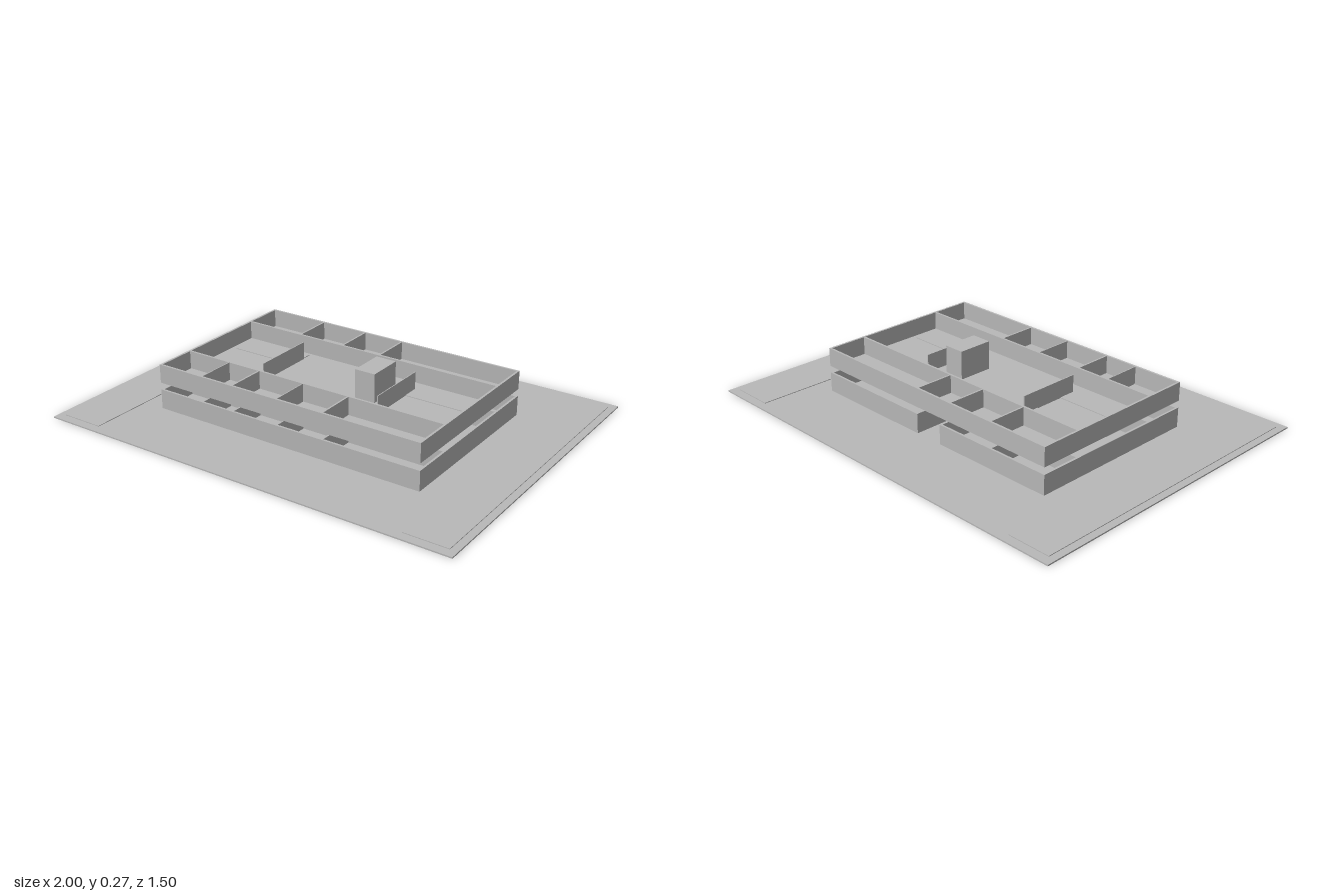
import * as THREE from 'three';

export function createModel() {
  const model = new THREE.Group();
  const grey = new THREE.MeshStandardMaterial({ color: 0xb8b8b8 });
  grey.name = 'plain grey';

  // Box given by its minimum and maximum on each axis
  function block(parent, name, x0, x1, y0, y1, z0, z1) {
    const mesh = new THREE.Mesh(new THREE.BoxGeometry(x1 - x0, y1 - y0, z1 - z0), grey);
    mesh.position.set((x0 + x1) / 2, (y0 + y1) / 2, (z0 + z1) / 2);
    mesh.name = name;
    parent.add(mesh);
  }

  const W = 0.665, D = 0.415, T = 0.01, INNER = 0.22;
  const BASE = 0.006, LOW_TOP = 0.097, FLOOR = 0.13, HIGH_TOP = 0.217;

  // Ground with a thin paved strip on each side
  block(model, 'ground', -1, 1, 0, BASE, -0.75, 0.75);
  for (const s of [-1, 1]) {
    block(model, 'sideStrip', s * 0.867 - 0.1, s * 0.867 + 0.1, BASE, 0.009, -0.71, 0.71);
  }

  // One storey: outer walls, two long inner walls and room dividers
  function storey(name, y0, y1, backDividers, frontDividers, door) {
    const g = new THREE.Group();
    g.name = name;
    for (const s of [-1, 1]) {
      const x = s * (W - T / 2);
      block(g, 'sideWall', x - T / 2, x + T / 2, y0, y1, -D, D);
      const z = s * INNER;
      block(g, 'innerWall', -W + T, W - T, y0, y1, z - T / 2, z + T / 2);
    }
    block(g, 'frontWall', -W + T, W - T, y0, y1, D - T, D);
    if (door) {
      block(g, 'backWallRight', -W + T, -door, y0, y1, -D, -D + T);
      block(g, 'backWallLeft', door, W - T, y0, y1, -D, -D + T);
    } else {
      block(g, 'backWall', -W + T, W - T, y0, y1, -D, -D + T);
    }
    for (const [x, t] of backDividers) {
      block(g, 'backDivider', x - t / 2, x + t / 2, y0, y1, -D + T, -INNER - T / 2);
    }
    for (const [x, t] of frontDividers) {
      block(g, 'frontDivider', x - t / 2, x + t / 2, y0, y1, INNER + T / 2, D - T);
    }
    model.add(g);
    return g;
  }

  const frontRooms = [[-0.43, 0.004], [-0.265, 0.008], [-0.03, 0.004], [0.2, 0.008]];
  storey('lowerStorey', BASE, LOW_TOP, [[-0.365, 0.008], [-0.074, 0.008], [0.074, 0.008]], frontRooms, 0.07);
  const upper = storey('upperStorey', FLOOR, HIGH_TOP,
    [[-0.365, 0.008], [-0.13, 0.008], [0.07, 0.008]], frontRooms, 0);

  // Upper floor, hall screens and low floor strips
  block(upper, 'upperFloor', -W + T, W - T, FLOOR, FLOOR + 0.004, -D + T, D - T);
  for (const s of [-1, 1]) {
    block(upper, 'hallScreen', s * 0.298 - 0.002, s * 0.298 + 0.002, FLOOR, HIGH_TOP, -0.15, 0.15);
    for (const e of [-1, 1]) {
      block(upper, 'floorStrip', s * 0.465 - 0.165, s * 0.465 + 0.165,
        FLOOR + 0.004, FLOOR + 0.007, e * 0.135 - 0.065, e * 0.135 + 0.065);
    }
  }

  // Shaft rising through both storeys
  block(model, 'shaft', 0.132, 0.23, BASE, 0.267, -0.1, 0.068);

  // Stair climbing towards the back
  const stair = new THREE.Group();
  stair.name = 'stair';
  const steps = 14, run = 0.16 / steps, rise = (FLOOR - BASE) / steps;
  for (let i = 0; i < steps; i++) {
    const z = 0.065 - i * run;
    block(stair, 'step', -0.22, -0.12, BASE, BASE + (i + 1) * rise, z - run, z);
  }
  model.add(stair);

  return model;
}
